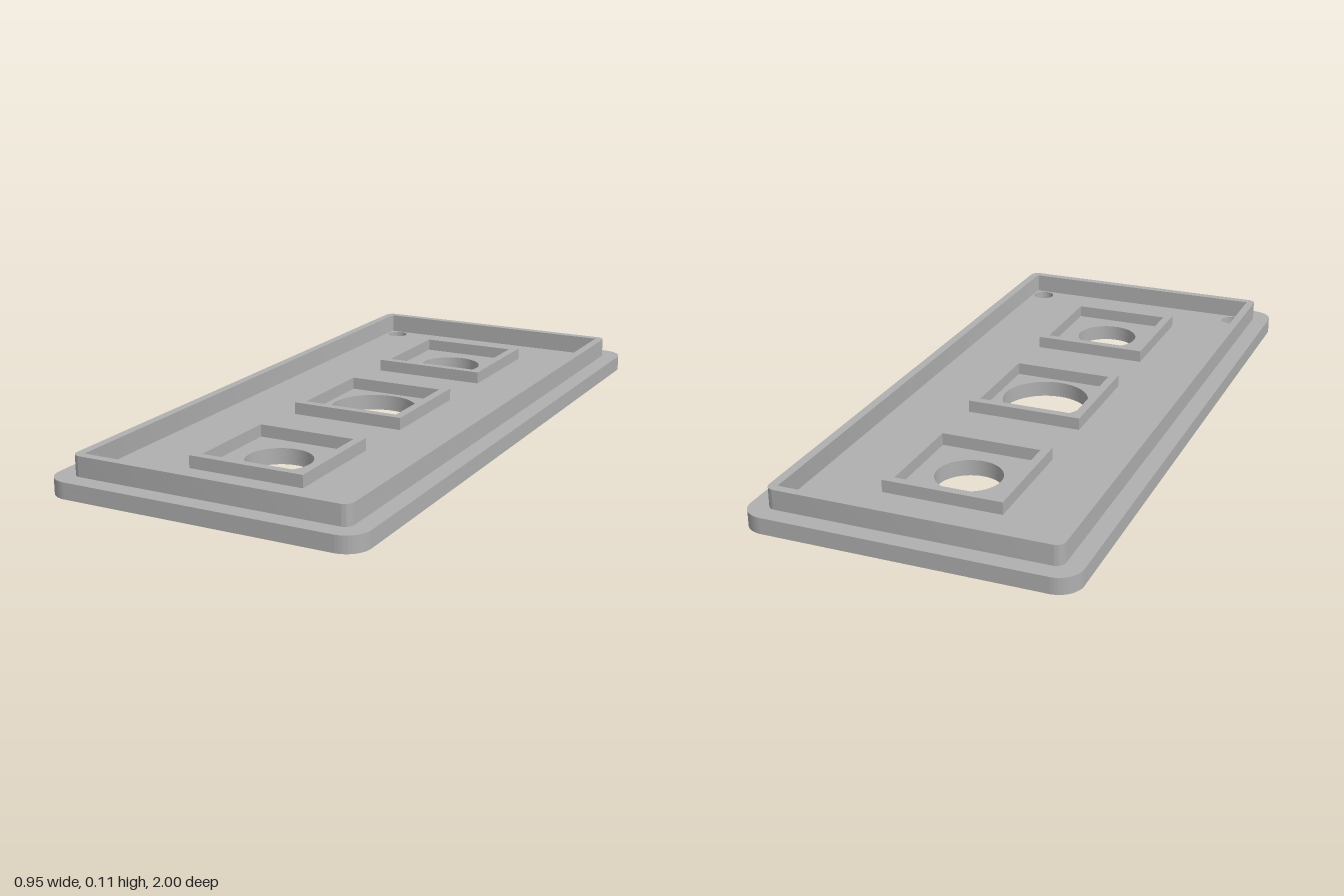
import * as THREE from 'three';
import { toCreasedNormals } from 'three/addons/utils/BufferGeometryUtils.js';

const grey = new THREE.MeshStandardMaterial({ color: 0xb0b0b0 });
grey.name = 'grey plastic';

// Rounded rectangle outline centred on (0, 0), given by half sizes
function roundedRect(w, d, r, Type = THREE.Shape) {
  const s = new Type();
  s.moveTo(w, -d + r);
  s.lineTo(w, d - r);
  s.absarc(w - r, d - r, r, 0, Math.PI / 2);
  s.absarc(-w + r, d - r, r, Math.PI / 2, Math.PI);
  s.absarc(-w + r, -d + r, r, Math.PI, Math.PI * 1.5);
  s.absarc(w - r, -d + r, r, Math.PI * 1.5, Math.PI * 2);
  s.closePath();
  return s;
}

function square(h, Type) {
  return new Type([[-h, -h], [h, -h], [h, h], [-h, h]].map(([x, y]) => new THREE.Vector2(x, y)));
}

// Round hole at model position (x, z)
function roundHole(x, z, r) {
  return new THREE.Path().absarc(x, -z, r, 0, Math.PI * 2);
}

// Extrude a plan outline upwards from y0 to y1
function slab(name, shape, y0, y1) {
  let geo = new THREE.ExtrudeGeometry(shape, { depth: y1 - y0, bevelEnabled: false, curveSegments: 24 });
  geo = toCreasedNormals(geo.rotateX(-Math.PI / 2), 0.6);
  const mesh = new THREE.Mesh(geo, grey);
  mesh.name = name;
  mesh.position.y = y0;
  return mesh;
}

export function createModel() {
  const group = new THREE.Group();
  group.name = 'cover plate';
  const plateTop = 0.048, pocketTop = 0.024;
  const sockets = [[-0.571, 0.097], [0, 0.132], [0.571, 0.097]];

  // Holes that pass through the whole plate
  const throughHoles = () => {
    const holes = sockets.map(([z, r]) => roundHole(0, z, r));
    for (const x of [-0.356, 0.356]) for (const z of [-0.88, 0.88]) holes.push(roundHole(x, z, 0.034));
    return holes;
  };

  // Lower layer, with shallow round marks and an arrow recessed in the underside
  const lower = roundedRect(0.475, 1, 0.068);
  const arrow = new THREE.Path([[-0.085, -0.79], [0.085, -0.79], [0, -0.912]].map(([x, y]) => new THREE.Vector2(x, y)));
  const marks = [[0.276, -0.568], [0.19, -0.568], [0.233, 0.572]].map(([x, z]) => roundHole(x, z, 0.025));
  lower.holes = [...throughHoles(), ...marks, arrow];
  group.add(slab('plateUnderside', lower, 0, pocketTop));

  // Upper layer closes the recesses
  const upper = roundedRect(0.475, 1, 0.068);
  upper.holes = throughHoles();
  group.add(slab('plateFloor', upper, pocketTop, plateTop));

  // Raised rim
  const rim = roundedRect(0.422, 0.946, 0.027);
  rim.holes = [roundedRect(0.396, 0.92, 0.004, THREE.Path)];
  group.add(slab('rim', rim, plateTop, 0.107));

  // Square frames around the three large holes
  for (const [z] of sockets) {
    const frame = square(0.178, THREE.Shape);
    frame.holes = [square(0.152, THREE.Path)];
    const mesh = slab('socketFrame', frame, plateTop, 0.085);
    mesh.position.z = z;
    group.add(mesh);
  }
  return group;
}
